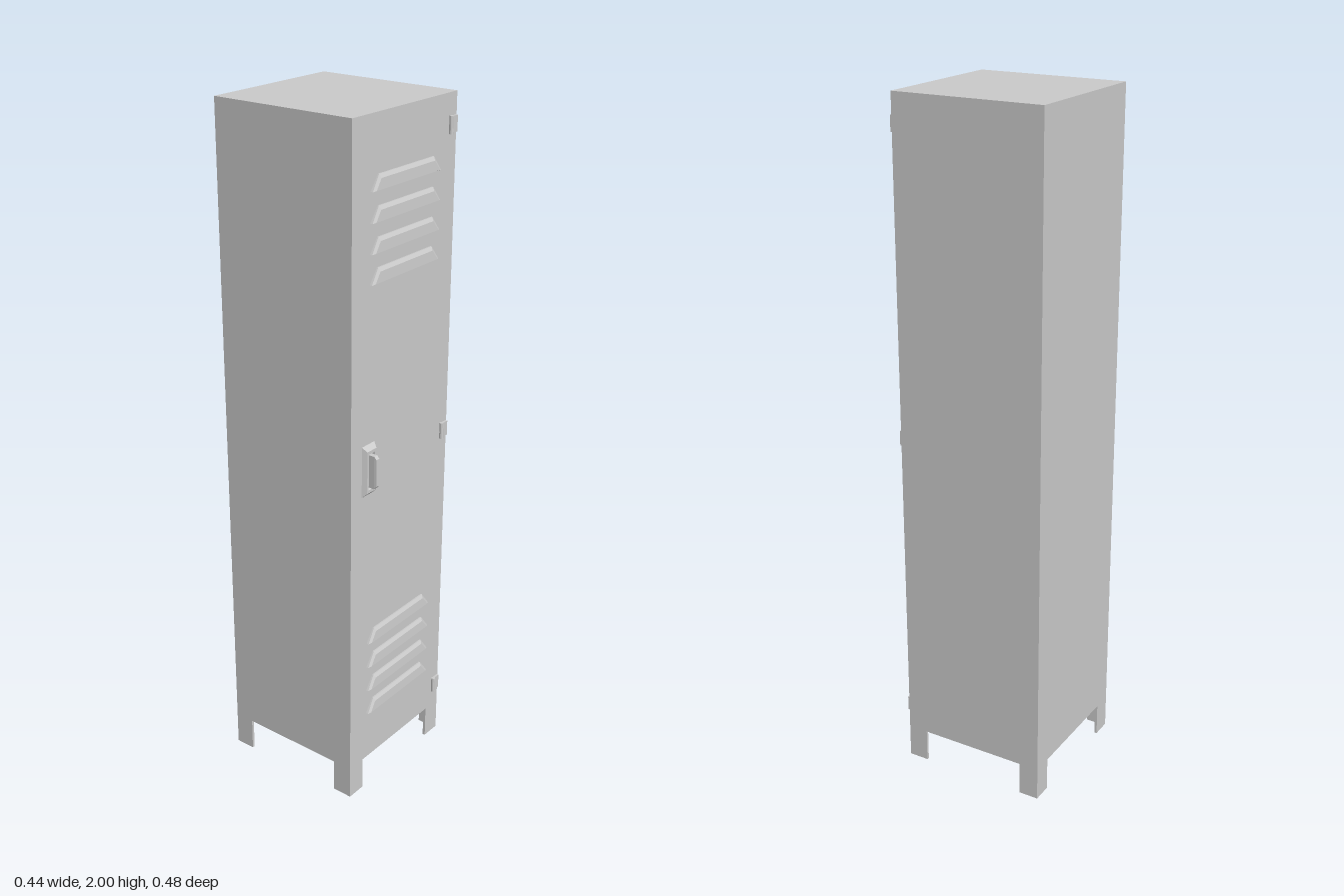
import * as THREE from 'three';

const W = 0.222, FRONT = 0.204, BACK = -0.24, TOP = 2, FLOOR = 0.1;
const LEG = 0.06, SHEET = 0.008;
const grey = new THREE.MeshStandardMaterial({ color: 0xcccccc, flatShading: true });

function add(parent, geometry, name, x = 0, y = 0, z = 0) {
  const mesh = new THREE.Mesh(geometry, grey);
  mesh.name = name;
  mesh.position.set(x, y, z);
  parent.add(mesh);
  return mesh;
}

// Four-cornered cross-sections joined in order, the last one capped.
// Each ring: [half width at bottom, half width at top, y bottom, y top, z bottom, z top]
function loft(rings) {
  const corners = rings.map(([wb, wt, yb, yt, zb, zt]) => [[-wb, yb, zb], [wb, yb, zb], [wt, yt, zt], [-wt, yt, zt]]);
  const pos = [];
  const quad = (a, b, c, d) => pos.push(...a, ...b, ...c, ...a, ...c, ...d);
  for (let r = 0; r + 1 < corners.length; r++) {
    for (let i = 0; i < 4; i++) {
      const j = (i + 1) % 4;
      quad(corners[r][i], corners[r][j], corners[r + 1][j], corners[r + 1][i]);
    }
  }
  quad(...corners[corners.length - 1]);
  const g = new THREE.BufferGeometry();
  g.setAttribute('position', new THREE.Float32BufferAttribute(pos, 3));
  g.computeVertexNormals();
  return g;
}

const rect = (w, h, z) => [w, w, -h, h, z, z];

export function createModel() {
  const locker = new THREE.Group();
  locker.name = 'locker';

  // Cabinet
  add(locker, new THREE.BoxGeometry(2 * W, TOP - FLOOR, FRONT - BACK), 'cabinet',
    0, (TOP + FLOOR) / 2, (FRONT + BACK) / 2);

  // Corner legs folded from sheet into an L
  for (const sx of [-1, 1]) {
    for (const sz of [-1, 1]) {
      const l = new THREE.Shape();
      const x = sx * W, z = sz > 0 ? FRONT : BACK;
      const p = (a, b) => [x - sx * a, -(z - sz * b)];
      l.moveTo(...p(0, 0));
      for (const [a, b] of [[LEG, 0], [LEG, SHEET], [SHEET, SHEET], [SHEET, LEG], [0, LEG]]) l.lineTo(...p(a, b));
      const g = new THREE.ExtrudeGeometry(l, { depth: FLOOR, bevelEnabled: false });
      g.rotateX(-Math.PI / 2);
      add(locker, g, (sz > 0 ? 'front' : 'back') + (sx > 0 ? 'Left' : 'Right') + 'Leg');
    }
  }

  // Pressed vent louvres, two banks of four
  const louvre = loft([
    [0.147, 0.118, -0.02, 0.02, 0, 0],
    [0.147, 0.118, -0.02, 0.02, 0.007, 0.004],
    [0.137, 0.115, -0.018, 0.01, 0.0115, 0.0095],
  ]);
  const vents = new THREE.Group();
  vents.name = 'vents';
  for (const y0 of [1.828, 0.518]) {
    for (let i = 0; i < 4; i++) add(vents, louvre, 'ventLouvre', 0, y0 - i * 0.08, FRONT);
  }
  locker.add(vents);

  // Hinges: barrel and leaf
  for (const y of [1.917, 1.047, 0.178]) {
    const hinge = new THREE.Group();
    hinge.name = 'hinge';
    hinge.position.set(0.191, y, FRONT);
    add(hinge, new THREE.CylinderGeometry(0.006, 0.006, 0.048, 10), 'hingeBarrel', 0, 0, 0.006);
    add(hinge, new THREE.BoxGeometry(0.027, 0.044, 0.007), 'hingeLeaf', 0.0135, 0, 0.0035);
    locker.add(hinge);
  }

  // Latch: bevelled plate with a recess, and a lift handle standing in it
  const latch = new THREE.Group();
  latch.name = 'latch';
  latch.position.set(-0.148, 1.05, FRONT);
  add(latch, loft([
    rect(0.027, 0.075, 0),
    rect(0.02, 0.062, 0.013),
    rect(0.013, 0.053, 0.013),
    rect(0.012, 0.051, 0.003),
  ]), 'latchPlate');
  add(latch, loft([
    rect(0.007, 0.048, 0.003),
    rect(0.007, 0.048, 0.026),
    rect(0.006, 0.04, 0.033),
  ]), 'latchHandle');
  locker.add(latch);

  return locker;
}
